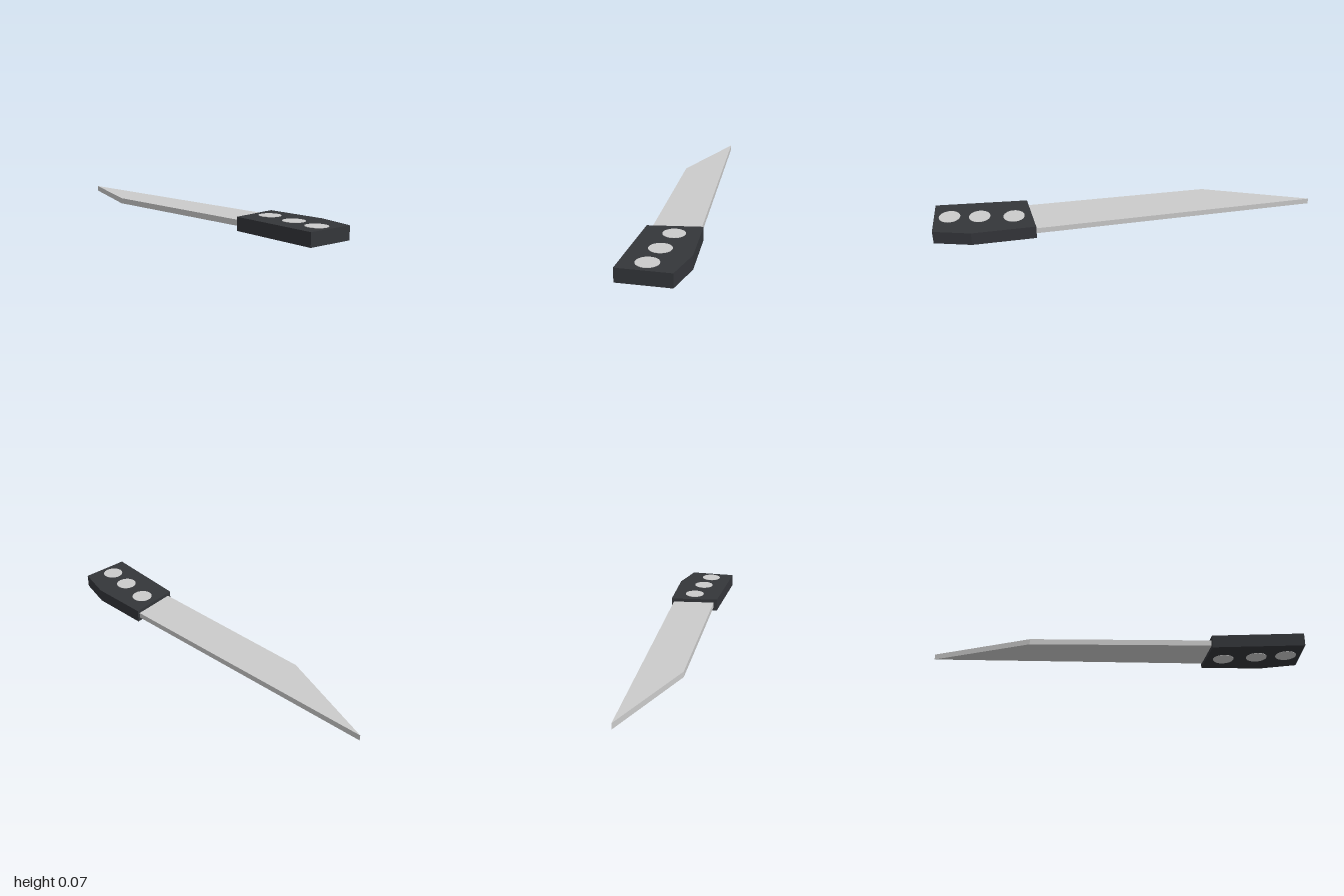
import * as THREE from 'three';

const steel = new THREE.MeshStandardMaterial({ color: 0xcccccc, flatShading: true });
const dark = new THREE.MeshStandardMaterial({ color: 0x34363a, flatShading: true });

// Flat slab from an [x, z] outline, spanning bottom to top in y
function slab(name, outline, bottom, top, material) {
  const shape = new THREE.Shape(outline.map(([x, z]) => new THREE.Vector2(x, -z)));
  const geometry = new THREE.ExtrudeGeometry(shape, { depth: top - bottom, bevelEnabled: false });
  geometry.rotateX(-Math.PI / 2).translate(0, bottom, 0);
  const mesh = new THREE.Mesh(geometry, material);
  mesh.name = name;
  return mesh;
}

export function createModel() {
  const group = new THREE.Group();
  group.name = 'knife';

  // Blade with slanted point, running a little way into the handle
  group.add(slab('blade', [
    [-1, -0.17], [-0.465, 0.057], [0.52, 0.096], [0.52, -0.142],
  ], 0.022, 0.052, steel));

  // Handle with a clipped rear corner
  group.add(slab('handle', [
    [0.483, -0.156], [0.5, 0.115], [0.98, 0.168], [1, -0.09], [0.81, -0.148],
  ], 0.002, 0.071, dark));

  // Rivets through the handle, just proud of both faces
  for (const [x, z] of [[0.583, -0.03], [0.757, 0.005], [0.91, 0.035]]) {
    const rivet = new THREE.Mesh(new THREE.CylinderGeometry(0.055, 0.055, 0.073, 32), steel);
    rivet.position.set(x, 0.0365, z);
    rivet.name = 'rivet';
    group.add(rivet);
  }

  return group;
}
